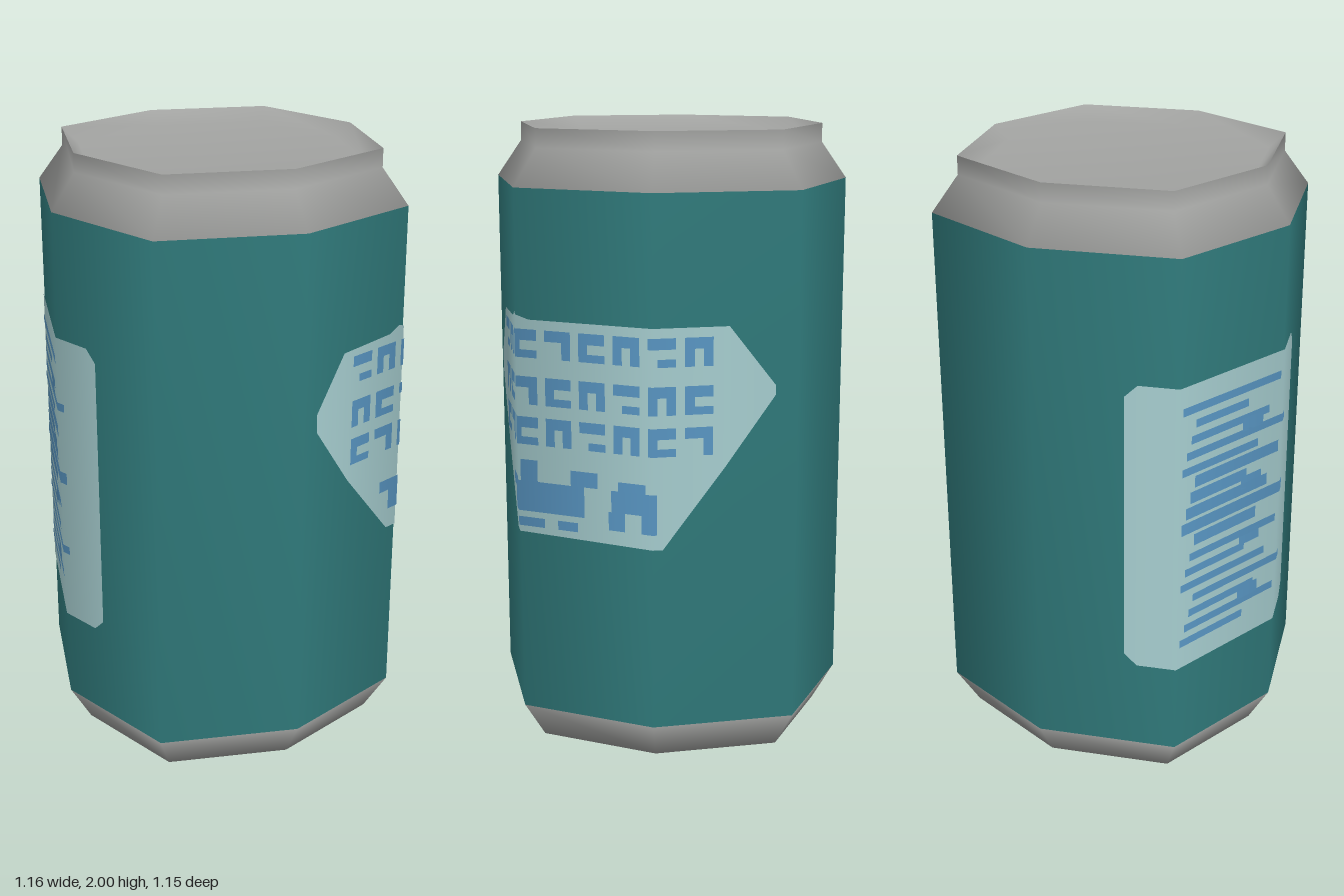
import * as THREE from 'three';
import { mergeGeometries } from 'three/addons/utils/BufferGeometryUtils.js';

const SIDES = 8;
const RADIUS = 0.575;
const CORNER = 0.622 / 0.575; // the diagonal corners stand slightly further out

const material = (name, color) => {
  const m = new THREE.MeshStandardMaterial({ color });
  m.name = name;
  return m;
};

// Eight-sided lathe with its diagonal corners pushed out
function octagonLathe(profile) {
  const geo = new THREE.LatheGeometry(profile.map(([r, y]) => new THREE.Vector2(r, y)), SIDES);
  const pos = geo.attributes.position;
  for (let i = 0; i < pos.count; i++) {
    if (Math.floor(i / profile.length) % 2) {
      pos.setX(i, pos.getX(i) * CORNER);
      pos.setZ(i, pos.getZ(i) * CORNER);
    }
  }
  return geo;
}

// Height of a polyline of [s, y] points at s
function heightAt(line, s) {
  for (let i = 1; i < line.length; i++) {
    const [s0, y0] = line[i - 1], [s1, y1] = line[i];
    if (s <= s1) return THREE.MathUtils.lerp(y0, y1, (s - s0) / (s1 - s0));
  }
  return line[line.length - 1][1];
}

// Thin patch on the can wall between two polylines; s counts corners round from the front
function wallPatch(lower, upper, lift) {
  const start = lower[0][0], end = lower[lower.length - 1][0];
  const stops = [...lower, ...upper].map((p) => p[0]);
  for (let k = Math.ceil(start); k <= end; k++) stops.push(k);
  const columns = [...new Set(stops)].sort((a, b) => a - b);
  const corner = (k) => {
    const a = (k * Math.PI * 2) / SIDES;
    return new THREE.Vector3(Math.sin(a), 0, Math.cos(a));
  };
  const radius = (k) => RADIUS * (k % 2 ? CORNER : 1);
  const pos = [], nor = [], index = [];
  columns.forEach((s, i) => {
    const k = Math.floor(s), t = s - k;
    const p = corner(k).multiplyScalar(radius(k))
      .lerp(corner(k + 1).multiplyScalar(radius(k + 1)), t).multiplyScalar(1 + lift / RADIUS);
    const n = corner(k).lerp(corner(k + 1), t).normalize();
    pos.push(p.x, heightAt(lower, s), p.z, p.x, heightAt(upper, s), p.z);
    nor.push(n.x, 0, n.z, n.x, 0, n.z);
    if (i) {
      const a = 2 * i - 2;
      index.push(a, a + 2, a + 1, a + 2, a + 3, a + 1);
    }
  });
  const geo = new THREE.BufferGeometry();
  geo.setAttribute('position', new THREE.Float32BufferAttribute(pos, 3));
  geo.setAttribute('normal', new THREE.Float32BufferAttribute(nor, 3));
  geo.setIndex(index);
  return geo;
}

const bar = (s0, s1, y0, y1) => wallPatch([[s0, y0], [s1, y0]], [[s0, y1], [s1, y1]], 0.006);

export function createModel() {
  const can = new THREE.Group();
  can.name = 'can';
  const silver = material('silver metal', 0xa2a3a1);
  const teal = material('teal paint', 0x307a7b);
  const pale = material('pale label', 0xa6cdcf);
  const blue = material('blue print', 0x5895c2);

  const add = (name, geo, mat) => {
    const mesh = new THREE.Mesh(geo, mat);
    mesh.name = name;
    can.add(mesh);
  };

  // Shell: base, chamfer, painted wall, shoulder and neck
  const profile = [[0, 0], [0.503, 0], [RADIUS, 0.125], [RADIUS, 1.825], [0.495, 1.94], [0.495, 2]];
  const shell = octagonLathe(profile);
  const bands = profile.length - 1;
  for (let i = 0; i < SIDES; i++) {
    for (let j = 0; j < bands; j++) shell.addGroup((i * bands + j) * 6, 6, j === 2 ? 1 : 0);
  }
  add('shell', shell, [silver, teal]);

  // Recessed lid
  add('lid', octagonLathe([[0.495, 2], [0.445, 1.955], [0, 1.955]]), silver);

  // Tapered label round the front left corner
  add('taperedLabel', wallPatch(
    [[0.12, 1.18], [0.45, 0.97], [0.9, 0.73], [2.07, 0.72], [2.5, 0.98], [2.84, 1.2]],
    [[0.12, 1.24], [0.38, 1.41], [0.85, 1.42], [0.95, 1.44], [1.1, 1.42], [2.52, 1.42], [2.84, 1.23]],
    0.003), pale);

  // Abstract print: three rows of small hooked blocks and a larger bottom row
  const print = [];
  [1.3, 1.15, 1.02].forEach((y, row) => {
    for (let i = 0; i < 8; i++) {
      const s = 0.47 + i * 0.25, w = 0.19;
      print.push(bar(s, s + w, y + 0.055, y + 0.09));
      if ((i + row) % 3) print.push(bar(s, s + 0.065, y, y + 0.055));
      if ((i + row) % 2) print.push(bar(s + 0.125, s + w, y, y + 0.055));
      else print.push(bar(s + 0.065, s + w, y, y + 0.025));
    }
  });
  [[0.8, 1.0, 0.87, 0.91], [0.9, 1.5, 0.8, 0.9], [1.02, 1.15, 0.9, 0.97], [1.4, 1.6, 0.9, 0.95],
    [1.0, 1.2, 0.75, 0.78], [1.7, 2.03, 0.83, 0.9], [1.75, 1.95, 0.9, 0.93], [1.68, 1.8, 0.77, 0.83],
    [1.92, 2.03, 0.77, 0.83], [1.3, 1.45, 0.75, 0.78]].forEach((b) => print.push(bar(...b)));
  add('taperedLabelPrint', mergeGeometries(print), blue);

  // Tall rounded label on the opposite side
  add('tallLabel', wallPatch(
    [[4.63, 0.47], [4.72, 0.43], [6.32, 0.43], [6.41, 0.47]],
    [[4.63, 1.38], [4.72, 1.42], [6.32, 1.42], [6.41, 1.38]], 0.003), pale);

  // Rows of bars of changing length, denser in the middle
  const rows = [];
  for (let i = 0; i < 17; i++) {
    const y = 0.51 + i * 0.051;
    const wide = i > 6 && i < 12;
    const s0 = 5.03 + 0.12 * ((i * 5) % 4) / 3;
    const s1 = 5.65 + 0.42 * ((i * 3) % 5) / 4;
    rows.push(bar(s0, s1, y, y + (wide ? 0.04 : 0.027)));
    if (i % 4 === 1) rows.push(bar(5.6, 5.8, y + 0.02, y + 0.065));
  }
  add('tallLabelPrint', mergeGeometries(rows), blue);

  return can;
}
